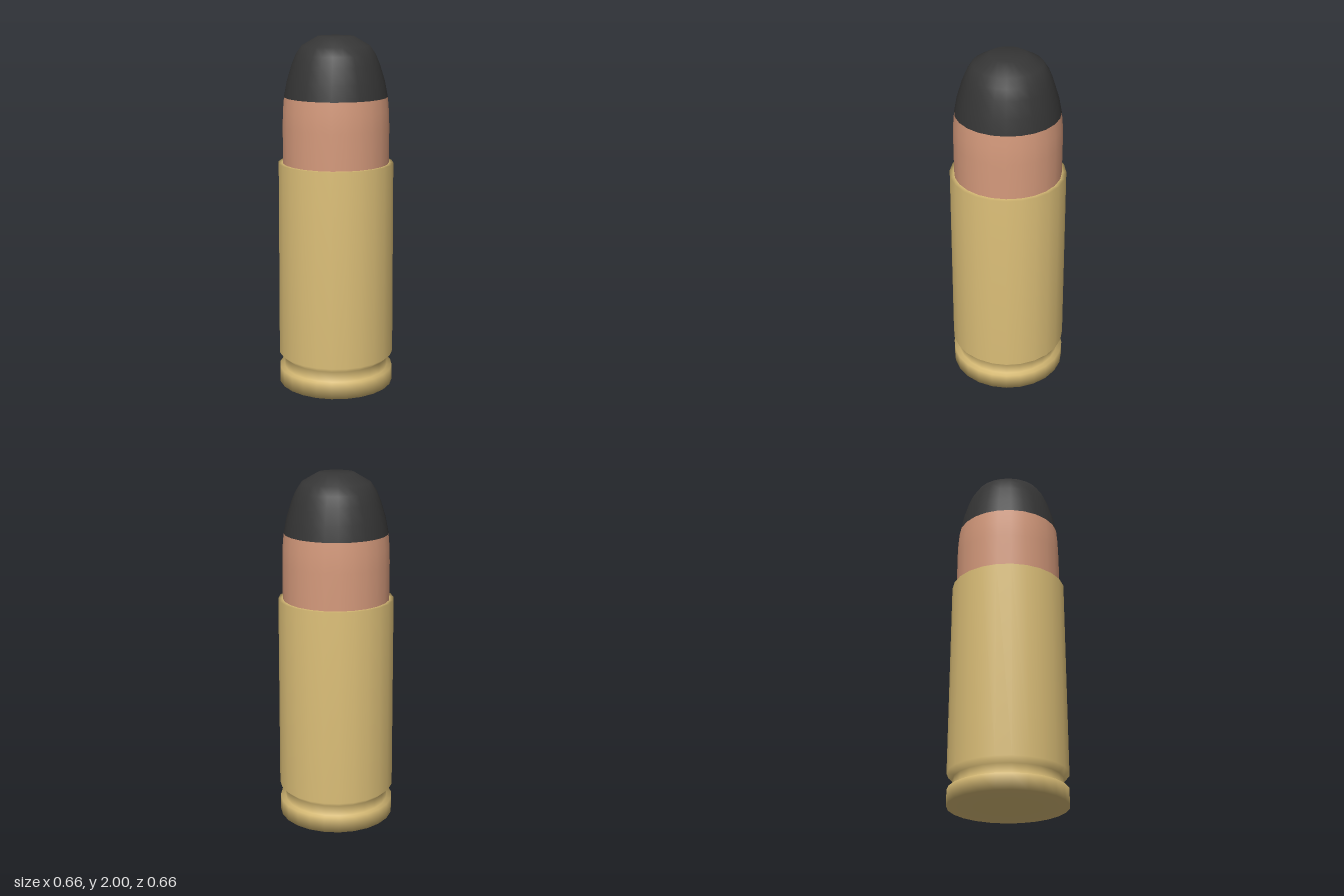
import * as THREE from 'three';

const material = (name, color) => {
  const m = new THREE.MeshStandardMaterial({ color });
  m.name = name;
  return m;
};

// Revolve a bottom-to-top [radius, height] profile around the y axis
function turned(name, profile, mat) {
  const points = profile.map(([r, y]) => new THREE.Vector2(r, y));
  const mesh = new THREE.Mesh(new THREE.LatheGeometry(points, 24), mat);
  mesh.name = name;
  return mesh;
}

export function createModel() {
  const brass = material('brass', 0xdcbf78);
  const copper = material('copper', 0xd59a7c);
  const black = material('black', 0x353535);

  const group = new THREE.Group();
  group.name = 'cartridge';

  group.add(
    // Closed base with rim, extraction groove, tapered wall and open-mouth lip
    turned('case', [
      [0, 0], [0.33, 0], [0.33, 0.09], [0.3, 0.09], [0.3, 0.15],
      [0.332, 0.18], [0.325, 1.297], [0.295, 1.297],
    ], brass),
    // Straight jacket that starts to curve inwards
    turned('jacket', [
      [0.3, 1.29], [0.3, 1.5], [0.297, 1.59], [0.29, 1.667],
    ], copper),
    // Rounded tip with a small flat top
    turned('tip', [
      [0.29, 1.667], [0.273, 1.755], [0.245, 1.845], [0.222, 1.9],
      [0.19, 1.948], [0.1, 2], [0, 2],
    ], black),
  );
  return group;
}
